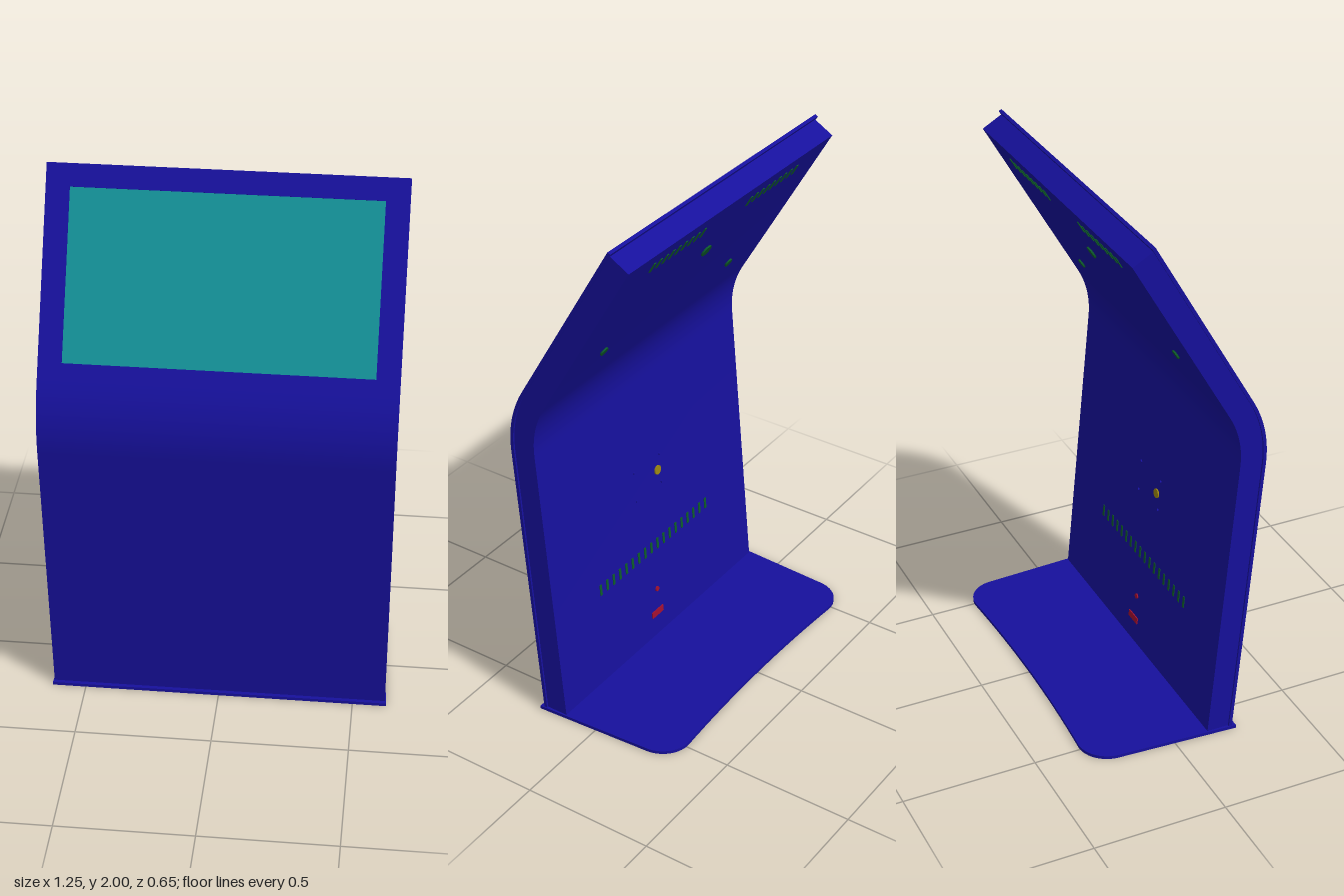
import * as THREE from 'three';
import { toCreasedNormals } from 'three/addons/utils/BufferGeometryUtils.js';

const paint = (color) => new THREE.MeshStandardMaterial({ color });
const BLUE = paint(0x16109c), TEAL = paint(0x138f96), GREEN = paint(0x0c5a2a);
const YELLOW = paint(0x9a8412), RED = paint(0xa01030);

const LEAN = 0.087, TILT = Math.PI / 6;        // lower lean forward, upper tilt back
const BEND = new THREE.Vector2(0.332, 1.235);  // (z, y) where the two front planes meet
const THICK = 0.095, SHEET = 0.012, ROUND = 0.14;
const upDir = new THREE.Vector2(-Math.sin(TILT), Math.cos(TILT));
const lowDir = new THREE.Vector2(Math.sin(LEAN), Math.cos(LEAN));
const inward = (d) => new THREE.Vector2(-d.y, d.x);

function add(parent, name, geometry, material, x = 0, y = 0, z = 0) {
  const mesh = new THREE.Mesh(geometry, material);
  mesh.name = name;
  mesh.position.set(x, y, z);
  parent.add(mesh);
  return mesh;
}

// Side line of the bent shell, set back by depth d from the front: bottom, bend start, corner, bend end, top
function sideLine(d, top) {
  const nLow = inward(lowDir), nUp = inward(upDir);
  const start = BEND.clone().addScaledVector(lowDir, -ROUND).addScaledVector(nLow, d);
  const end = BEND.clone().addScaledVector(upDir, ROUND).addScaledVector(nUp, d);
  const miter = nLow.clone().add(nUp).divideScalar(1 + nLow.dot(nUp));
  const corner = BEND.clone().addScaledVector(miter, d);
  const bottom = start.clone().addScaledVector(lowDir, (0.011 - start.y) / lowDir.y);
  const tip = BEND.clone().addScaledVector(upDir, top).addScaledVector(nUp, d);
  return { bottom, start, corner, end, tip };
}

// Bent slab between two depths, extruded across the width
function bentSlab(d0, d1, top, width) {
  const f = sideLine(d0, top), b = sideLine(d1, top);
  const s = new THREE.Shape();
  s.moveTo(f.bottom.x, f.bottom.y);
  s.lineTo(f.start.x, f.start.y);
  s.quadraticCurveTo(f.corner.x, f.corner.y, f.end.x, f.end.y);
  if (top > ROUND) {
    s.lineTo(f.tip.x, f.tip.y);
    s.lineTo(b.tip.x, b.tip.y);
  }
  s.lineTo(b.end.x, b.end.y);
  s.quadraticCurveTo(b.corner.x, b.corner.y, b.start.x, b.start.y);
  s.lineTo(b.bottom.x, b.bottom.y);
  s.closePath();
  const g = new THREE.ExtrudeGeometry(s, { depth: width, bevelEnabled: false, curveSegments: 16 });
  g.translate(0, 0, -width / 2).rotateY(-Math.PI / 2);
  return toCreasedNormals(g, 0.5);
}

function rect(PathType, halfWidth, y0, y1) {
  return new PathType([[-halfWidth, y0], [halfWidth, y0], [halfWidth, y1], [-halfWidth, y1]]
    .map(([x, y]) => new THREE.Vector2(x, y)));
}

// Row of narrow upright vent slots
function ventRow(parent, x0, x1, y, count) {
  const row = new THREE.Group();
  row.name = 'ventSlots';
  const slot = new THREE.BoxGeometry(0.012, 0.045, 0.006);
  for (let i = 0; i < count; i++) {
    add(row, 'ventSlot', slot, GREEN, x0 + (x1 - x0) * i / (count - 1), y, -THICK);
  }
  parent.add(row);
}

function disc(parent, name, radius, material, x, y) {
  const g = new THREE.CylinderGeometry(radius, radius, 0.012, 20).rotateX(Math.PI / 2);
  add(parent, name, g, material, x, y, -THICK);
}

export function createModel() {
  const model = new THREE.Group();
  model.name = 'kiosk';

  // Floor plate with rounded rear corners and a slightly hollow rear edge
  const plate = new THREE.Shape();
  plate.moveTo(-0.625, -0.24);
  plate.lineTo(0.625, -0.24);
  plate.lineTo(0.6, 0.21);
  plate.bezierCurveTo(0.6, 0.275, 0.55, 0.325, 0.49, 0.325);
  plate.quadraticCurveTo(0, 0.289, -0.49, 0.325);
  plate.bezierCurveTo(-0.55, 0.325, -0.6, 0.275, -0.6, 0.21);
  plate.closePath();
  const plateGeo = new THREE.ExtrudeGeometry(plate, { depth: 0.012, bevelEnabled: false, curveSegments: 16 });
  add(model, 'floorPlate', toCreasedNormals(plateGeo.rotateX(-Math.PI / 2), 0.5), BLUE);

  // Bent housing and the slightly wider front sheet
  add(model, 'housing', bentSlab(SHEET, THICK, 0.87, 1.226), BLUE);
  add(model, 'frontSheet', bentSlab(0, SHEET, ROUND, 1.24), BLUE);

  // Tilted head: bezel with screen opening, vents and fasteners behind
  const head = new THREE.Group();
  head.name = 'head';
  head.position.set(0, BEND.y, BEND.x);
  head.rotation.x = -TILT;
  model.add(head);
  const bezel = rect(THREE.Shape, 0.62, ROUND, 0.883);
  bezel.holes.push(rect(THREE.Path, 0.537, 0.202, 0.803));
  add(head, 'screenBezel', new THREE.ExtrudeGeometry(bezel, { depth: SHEET, bevelEnabled: false }), BLUE, 0, 0, -SHEET);
  add(head, 'screen', new THREE.BoxGeometry(1.074, 0.601, 0.008), TEAL, 0, 0.5025, -0.008);
  for (const side of [-1, 1]) {
    ventRow(head, side * 0.14, side * 0.43, 0.79, 9);
    disc(head, 'rearFastener', 0.018, GREEN, side * 0.38, 0.31);
  }
  disc(head, 'rearLock', 0.024, GREEN, -0.02, 0.6);

  // Rear of the stand: vents, service hatch with lock, power inlet
  const rear = new THREE.Group();
  rear.name = 'standRear';
  rear.position.set(0, 0, 0.225);
  rear.rotation.x = LEAN;
  model.add(rear);
  ventRow(rear, -0.34, 0.34, 0.39, 18);
  disc(rear, 'hatchLock', 0.018, YELLOW, -0.06, 0.69);
  for (const x of [-0.08, 0.08]) {
    for (const y of [0.63, 0.75]) disc(rear, 'hatchScrew', 0.005, BLUE, x, y);
  }
  add(rear, 'powerInlet', new THREE.BoxGeometry(0.07, 0.025, 0.01), RED, 0.02, 0.1, -THICK);
  disc(rear, 'powerButton', 0.01, RED, 0.01, 0.2);

  return model;
}
